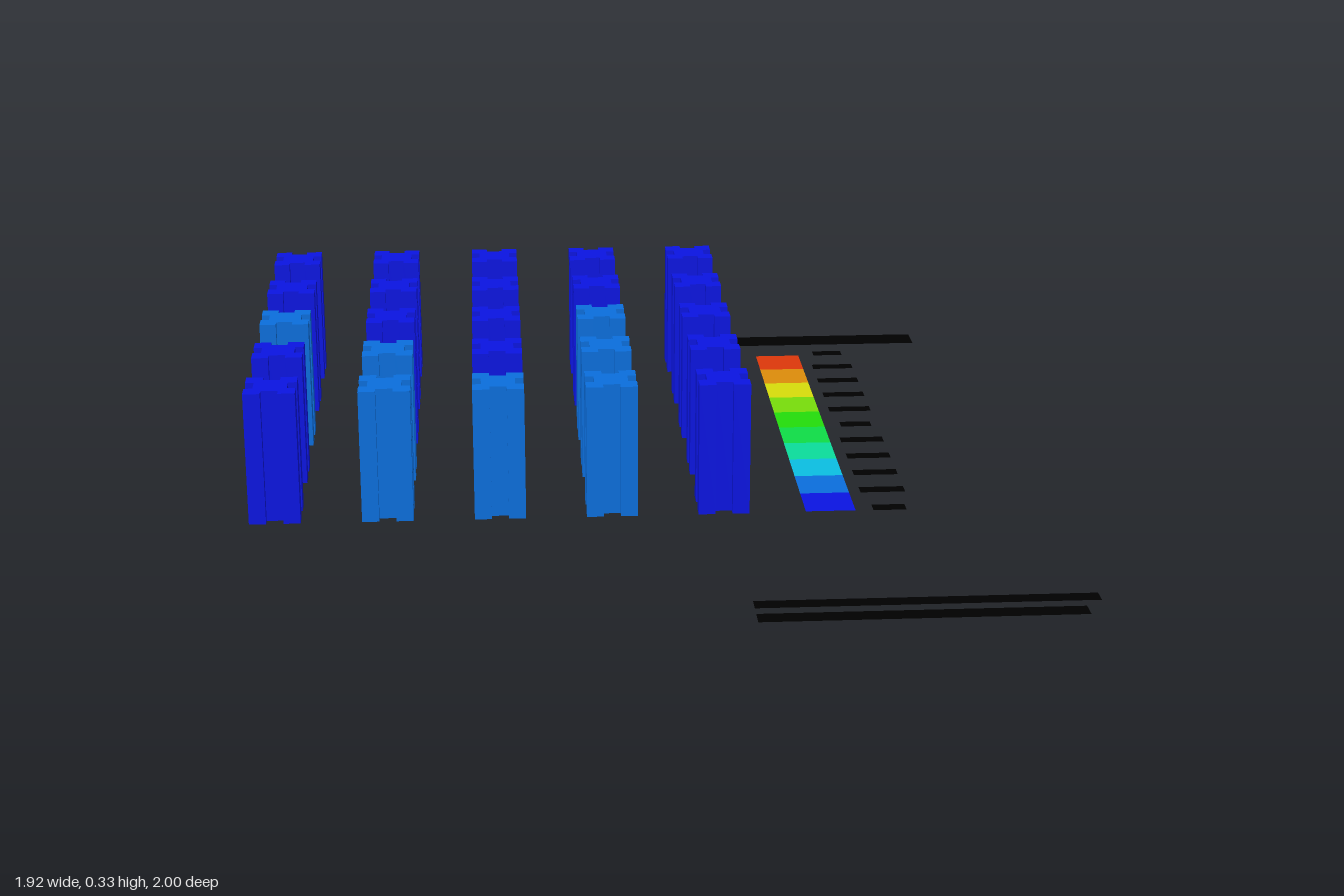
import * as THREE from 'three';

const PITCH = 0.267, HALF = 0.061, HEIGHT = 0.326;
const SCALE_COLORS = [0x0a14e1, 0x0a6edc, 0x0abee1, 0x0adc9b, 0x0fdc46,
  0x23dc0a, 0x78dc0a, 0xd7dc0a, 0xdc8c0a, 0xdc370a];

// Square column outline with a rectangular notch in the middle of each side
function columnGeometry() {
  const a = HALF, n = HALF / 3, d = HALF * 0.66;
  const side = [[a, -a], [a, -n], [d, -n], [d, n], [a, n]];
  const points = [];
  for (let k = 0; k < 4; k++) {
    for (const [x, y] of side) {
      points.push(new THREE.Vector2(x, y).rotateAround(new THREE.Vector2(), k * Math.PI / 2));
    }
  }
  const geometry = new THREE.ExtrudeGeometry(new THREE.Shape(points), { depth: HEIGHT, bevelEnabled: false });
  return geometry.rotateX(-Math.PI / 2);
}

export function createModel() {
  const model = new THREE.Group();
  model.name = 'columnGrid';

  // Columns: 1 marks the lighter ones, rows run from back to front
  const rows = ['00000', '00000', '10010', '01010', '01110'];
  const column = columnGeometry();
  const columnMaterials = [0, 1].map(i => new THREE.MeshStandardMaterial({ color: SCALE_COLORS[i] }));
  const columns = new THREE.Group();
  columns.name = 'columns';
  rows.forEach((row, r) => [...row].forEach((level, c) => {
    const mesh = new THREE.Mesh(column, columnMaterials[+level]);
    mesh.name = 'column';
    mesh.position.set(-0.895 + c * PITCH, 0, -0.765 + r * PITCH);
    columns.add(mesh);
  }));
  model.add(columns);

  // Flat rectangle lying on the ground
  function flatStrip(name, x0, x1, z0, z1, material, parent) {
    const mesh = new THREE.Mesh(new THREE.PlaneGeometry(x1 - x0, z1 - z0).rotateX(-Math.PI / 2), material);
    mesh.name = name;
    mesh.position.set((x0 + x1) / 2, 0, (z0 + z1) / 2);
    parent.add(mesh);
  }

  // Colour scale, with a blank marker beside each step
  const scale = new THREE.Group();
  scale.name = 'colorScale';
  const black = new THREE.MeshStandardMaterial({ color: 0x000000, side: THREE.DoubleSide });
  const step = 0.1185;
  SCALE_COLORS.forEach((color, i) => {
    const z = 0.36 - i * step;
    const material = new THREE.MeshStandardMaterial({ color, side: THREE.DoubleSide });
    flatStrip('scaleStep', 0.37, 0.49, z - step, z, material, scale);
  });
  for (let i = 0; i <= 10; i++) {
    const z = 0.344 - i * step;
    const reach = i === 0 || i === 5 || i === 10 ? 0.04 : 0.055;
    flatStrip('scaleMarker', 0.573 - reach, 0.573 + reach, z - 0.018, z + 0.018, black, scale);
  }
  model.add(scale);

  // Blank caption strips
  const captions = new THREE.Group();
  captions.name = 'captions';
  flatStrip('titleStrip', 0.32, 0.83, -1, -0.92, black, captions);
  flatStrip('upperCaptionStrip', 0.19, 0.96, 0.885, 0.925, black, captions);
  flatStrip('lowerCaptionStrip', 0.19, 0.92, 0.955, 1, black, captions);
  model.add(captions);

  return model;
}
